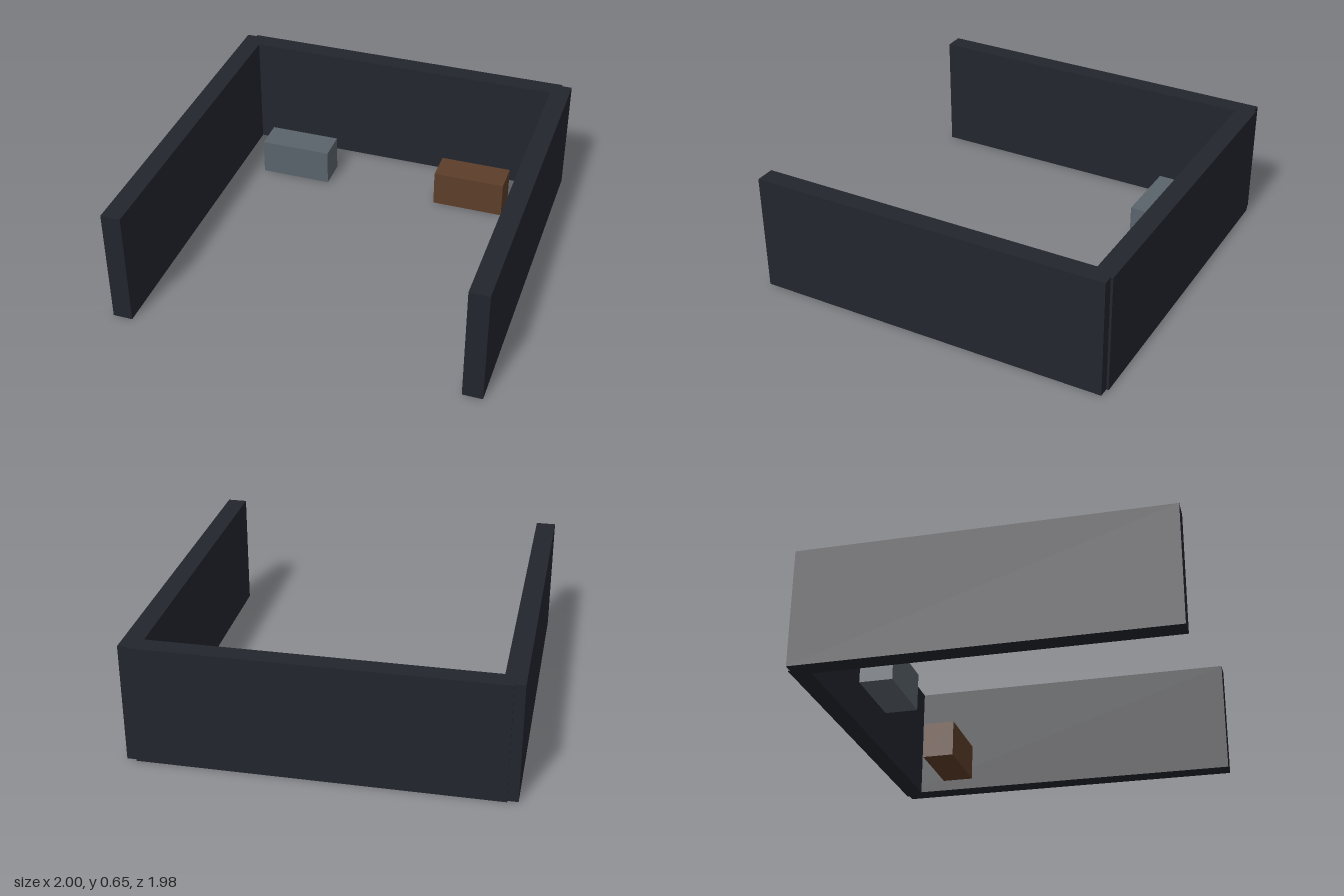
import * as THREE from 'three';

const WALL = 0x22252d, GREY = 0x5a636b, BROWN = 0x5c3d28;

// Box given by its extents along each axis
function block(name, color, [x0, x1], [y0, y1], [z0, z1]) {
  const mesh = new THREE.Mesh(
    new THREE.BoxGeometry(x1 - x0, y1 - y0, z1 - z0),
    new THREE.MeshStandardMaterial({ color })
  );
  mesh.position.set((x0 + x1) / 2, (y0 + y1) / 2, (z0 + z1) / 2);
  mesh.name = name;
  return mesh;
}

export function createModel() {
  const model = new THREE.Group();
  model.name = 'walledBay';
  const wallY = [0, 0.65], crateY = [0, 0.205], crateZ = [-0.695, -0.52];

  // Three walls, open at the front; the back wall stands slightly proud
  model.add(
    block('leftWall', WALL, [0.893, 1], wallY, [-0.98, 0.99]),
    block('rightWall', WALL, [-1, -0.893], wallY, [-0.98, 0.99]),
    block('backWall', WALL, [-0.945, 0.945], wallY, [-0.993, -0.887])
  );

  // Two crates on the floor near the back
  model.add(
    block('brownCrate', BROWN, [0.327, 0.733], crateY, crateZ),
    block('greyCrate', GREY, [-0.737, -0.331], crateY, crateZ)
  );
  return model;
}
